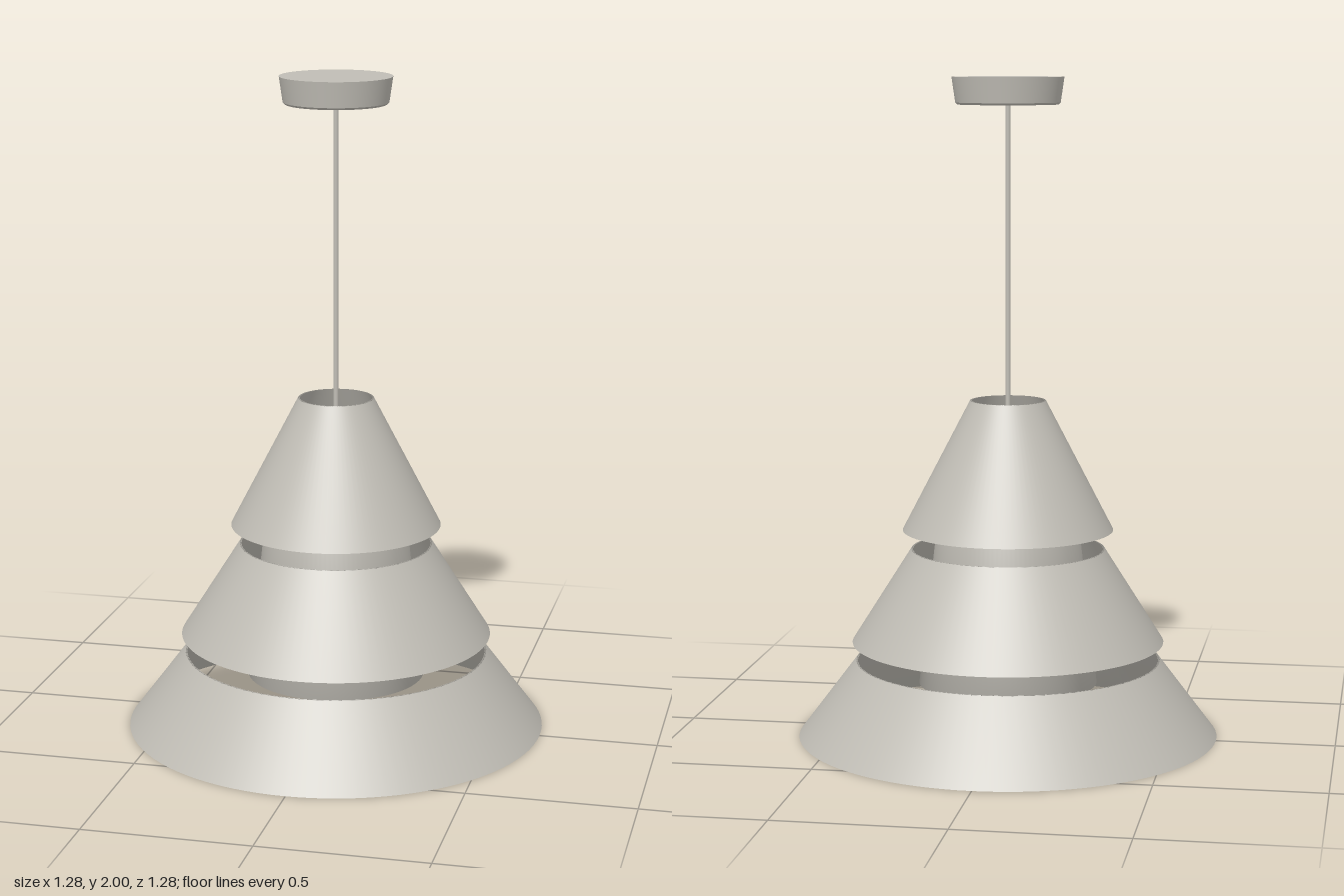
import * as THREE from 'three';

export function createModel() {
  const group = new THREE.Group();
  group.name = 'pendantLamp';
  const metal = new THREE.MeshStandardMaterial({ color: 0xc0bdb5 });
  metal.name = 'warm grey metal';

  const add = (name, geometry, y = 0) => {
    const mesh = new THREE.Mesh(geometry, metal);
    mesh.name = name;
    mesh.position.y = y;
    group.add(mesh);
  };
  const lathe = (points) =>
    new THREE.LatheGeometry(points.map(([r, y]) => new THREE.Vector2(r, y)), 96);

  // Thin conical shade, open at both ends, with a wall that closes on itself
  const wall = 0.006;
  const shade = (rBottom, yBottom, rTop, yTop) => {
    const rMid = (rBottom + rTop) / 2 - wall;
    const yMid = (yBottom + yTop) / 2;
    return lathe([
      [rMid, yMid],
      [rBottom - wall, yBottom], [rBottom, yBottom],
      [rTop, yTop], [rTop - wall, yTop],
      [rMid, yMid],
    ]);
  };

  // Three stacked shades: bottom radius, bottom y, top radius, top y
  add('lowerShade', shade(0.64, 0, 0.465, 0.232));
  add('middleShade', shade(0.475, 0.29, 0.295, 0.575));
  add('upperShade', shade(0.32, 0.635, 0.115, 1.03));

  // Tapered core inside the shades
  add('innerCore', lathe([[0, 0.16], [0.272, 0.16], [0.195, 0.83], [0, 0.83]]));

  // Cord and ceiling canopy
  add('cord', new THREE.CylinderGeometry(0.008, 0.008, 1.1, 16), 1.375);
  add('canopy', new THREE.CylinderGeometry(0.168, 0.157, 0.076, 64), 1.962);
  add('canopyBevel', new THREE.CylinderGeometry(0.157, 0.151, 0.006, 64), 1.921);

  return group;
}
